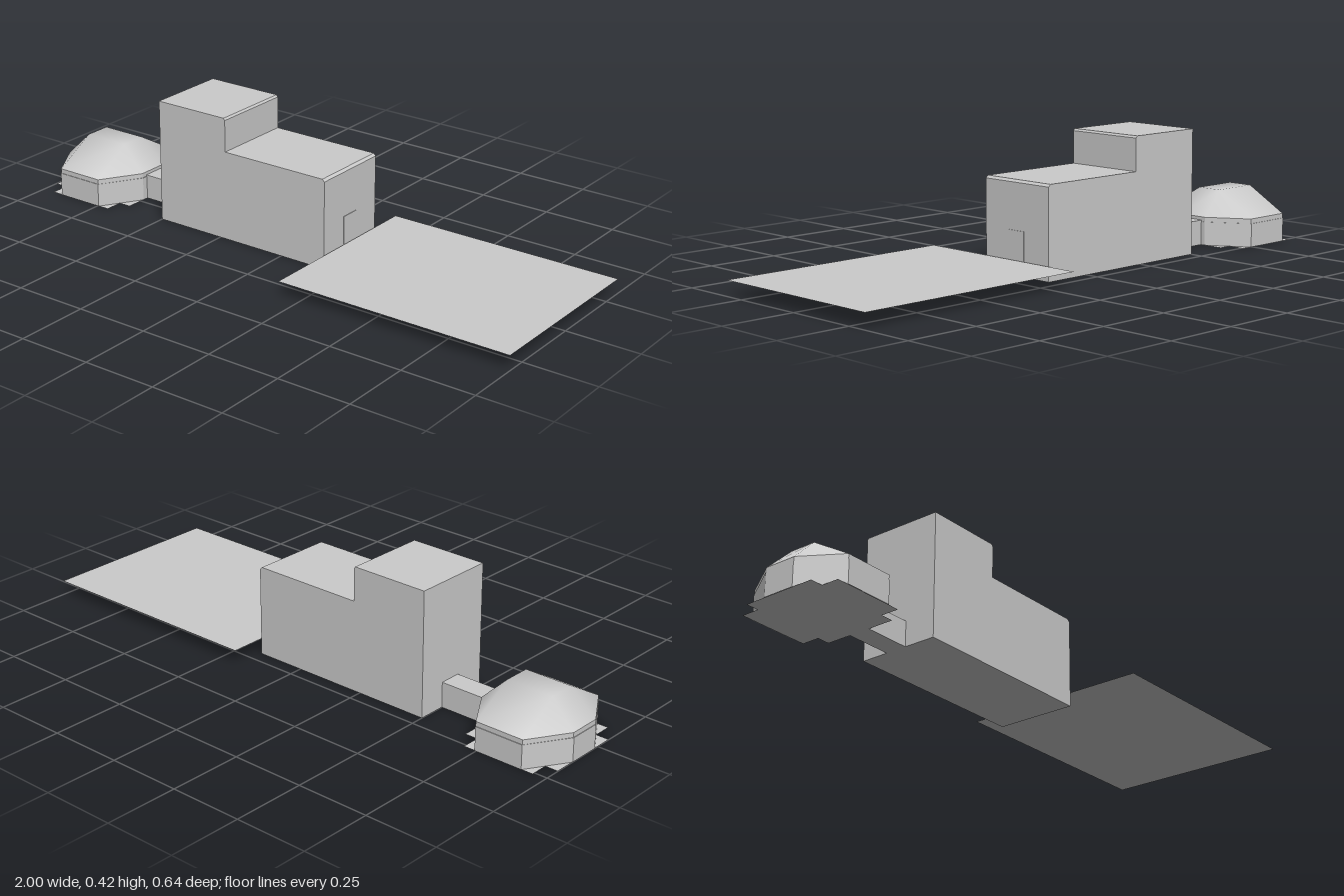
import * as THREE from 'three';
import { mergeVertices } from 'three/addons/utils/BufferGeometryUtils.js';

const grey = (flatShading = false) =>
  new THREE.MeshStandardMaterial({ color: 0xcccccc, side: THREE.DoubleSide, flatShading });

function add(parent, name, geometry, material, x = 0, y = 0, z = 0) {
  const mesh = new THREE.Mesh(geometry, material);
  mesh.name = name;
  mesh.position.set(x, y, z);
  parent.add(mesh);
  return mesh;
}

// Box given by its minimum and maximum corners
function boxBetween(parent, name, a, b) {
  const size = a.map((v, i) => b[i] - v);
  const mid = a.map((v, i) => (v + b[i]) / 2);
  return add(parent, name, new THREE.BoxGeometry(...size), grey(), ...mid);
}

// Eight-sided ring: outer half sizes hx, hz and half lengths fx, fz of the straight sides
function octagon(hx, hz, fx, fz, y) {
  return [[hx, fz], [hx, -fz], [fx, -hz], [-fx, -hz], [-hx, -fz], [-hx, fz], [-fx, hz], [fx, hz]]
    .map(([x, z]) => [x, y, z]);
}

// Skin over stacked rings, closed at the top
function loft(rings) {
  const n = rings[0].length, index = [];
  for (let r = 0; r < rings.length - 1; r++) {
    for (let i = 0; i < n; i++) {
      const a = r * n + i, b = r * n + (i + 1) % n;
      index.push(a, b, b + n, a, b + n, a + n);
    }
  }
  const top = (rings.length - 1) * n;
  for (let i = 1; i < n - 1; i++) index.push(top, top + i, top + i + 1);
  const g = new THREE.BufferGeometry();
  g.setAttribute('position', new THREE.Float32BufferAttribute(rings.flat(2), 3));
  g.setIndex(index);
  const merged = mergeVertices(g, 1e-4);
  merged.computeVertexNormals();
  return merged;
}

export function createModel() {
  const model = new THREE.Group();
  model.name = 'buildingSite';

  // Main building: stepped side profile with small bevels at the roof edges
  const profile = new THREE.Shape([
    [-0.5, 0], [0.17, 0], [0.17, 0.297], [0.162, 0.305], [-0.225, 0.305],
    [-0.225, 0.413], [-0.23, 0.42], [-0.5, 0.42],
  ].map(([x, y]) => new THREE.Vector2(x, y)));
  const body = new THREE.ExtrudeGeometry(profile, { depth: 0.28, bevelEnabled: false });
  add(model, 'mainBuilding', body, grey(), 0, 0, -0.205);
  boxBetween(model, 'door', [0.168, 0.05, -0.097], [0.172, 0.145, -0.03]);

  // Passage to the pavilion
  boxBetween(model, 'passage', [-0.68, 0, -0.11], [-0.49, 0.085, -0.035]);

  // Flat forecourt
  const court = new THREE.PlaneGeometry(0.825, 0.64).rotateX(-Math.PI / 2);
  add(model, 'forecourt', court, grey(), 0.5875, 0.05, 0);

  // Eight-sided pavilion
  const pavilion = new THREE.Group();
  pavilion.name = 'pavilion';
  pavilion.position.set(-0.83, 0, -0.07);
  model.add(pavilion);
  const ring = (y, s = 0) => octagon(0.17 - s, 0.19 - s, 0.085, 0.055, y);
  add(pavilion, 'pavilionWalls', loft([ring(0), ring(0.08)]), grey(true));
  add(pavilion, 'eaves', loft([ring(0.08, 0.002), ring(0.096, 0.002)]), grey(true));
  // The roof closes to a small rectangle
  const dome = loft([ring(0.096, 0.002), octagon(0.082, 0.045, 0.082, 0.045, 0.18)]);
  add(pavilion, 'pavilionRoof', dome, grey());

  // Crossed ground plates
  for (const [w, d] of [[0.25, 0.378], [0.338, 0.255]]) {
    const plate = new THREE.PlaneGeometry(w, d).rotateX(-Math.PI / 2);
    add(pavilion, 'groundPlate', plate, grey());
  }
  return model;
}
